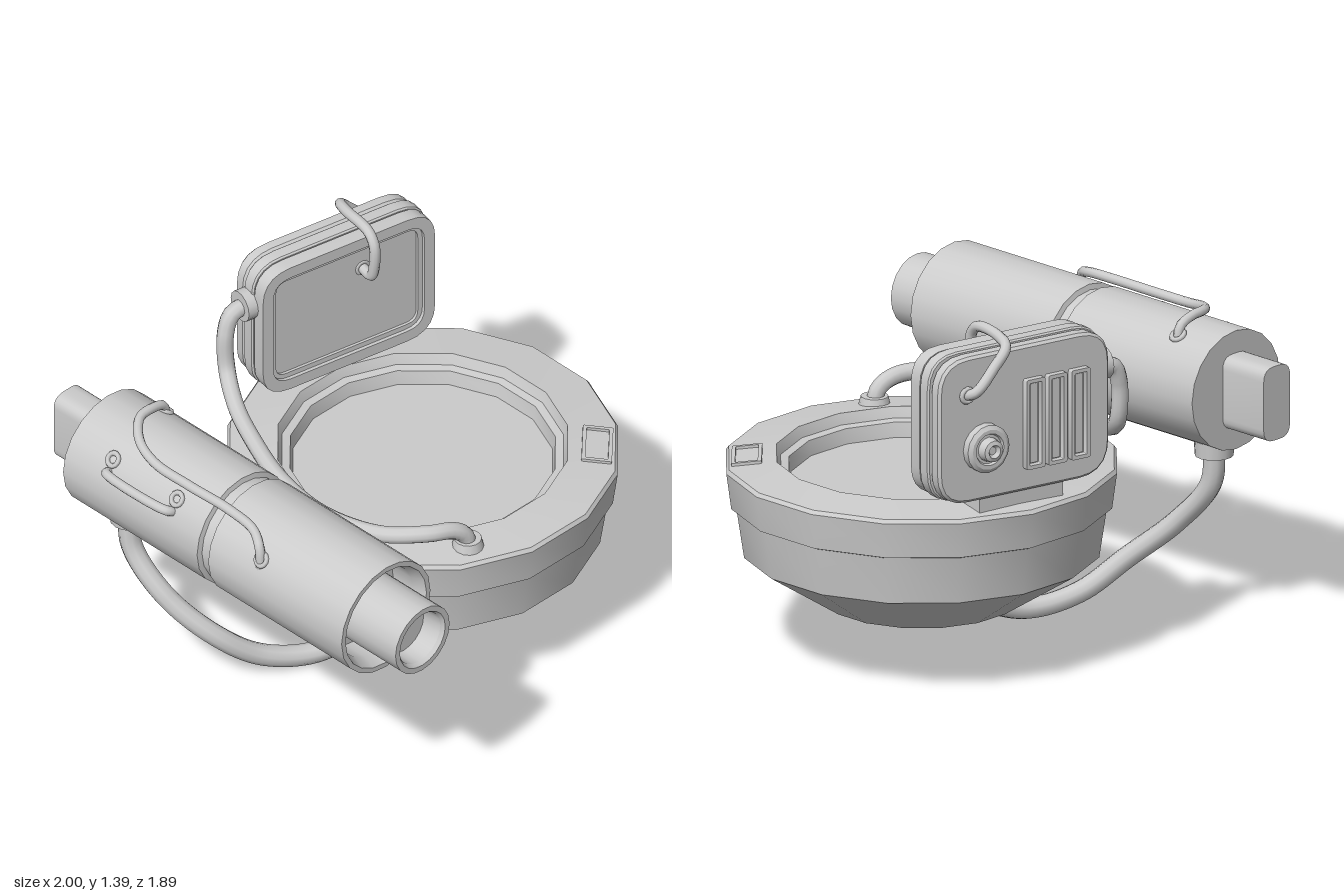
import * as THREE from 'three';
import { toCreasedNormals } from 'three/addons/utils/BufferGeometryUtils.js';

const material = new THREE.MeshStandardMaterial({ color: 0xcccccc });

function add(parent, name, geometry, x = 0, y = 0, z = 0) {
  const mesh = new THREE.Mesh(geometry, material);
  mesh.name = name;
  mesh.position.set(x, y, z);
  parent.add(mesh);
  return mesh;
}

// Turned part: profile of [radius, height] from the bottom upwards
function turned(points, sides) {
  const profile = points.map(([r, h]) => new THREE.Vector2(r, h));
  return toCreasedNormals(new THREE.LatheGeometry(profile, sides), 0.5);
}

// Smooth tube through a few points
function tube(points, radius, segments = 48) {
  const curve = new THREE.CatmullRomCurve3(points.map(p => new THREE.Vector3(...p)));
  return new THREE.TubeGeometry(curve, segments, radius, 10, false);
}

function roundedRect(w, h, r, Type = THREE.Shape) {
  const s = new Type(), x = w / 2, y = h / 2;
  s.moveTo(-x + r, -y);
  s.lineTo(x - r, -y);
  s.quadraticCurveTo(x, -y, x, -y + r);
  s.lineTo(x, y - r);
  s.quadraticCurveTo(x, y, x - r, y);
  s.lineTo(-x + r, y);
  s.quadraticCurveTo(-x, y, -x, y - r);
  s.lineTo(-x, -y + r);
  s.quadraticCurveTo(-x, -y, -x + r, -y);
  return s;
}

// Rounded plate; a border width makes it a frame
function plate(w, h, r, depth, border = 0, bevel = 0) {
  const shape = roundedRect(w - 2 * bevel, h - 2 * bevel, r);
  if (border) {
    shape.holes.push(roundedRect(w - 2 * border, h - 2 * border, Math.max(r - border, 0.004), THREE.Path));
  }
  const geometry = new THREE.ExtrudeGeometry(shape, {
    depth: depth - 2 * bevel, curveSegments: 5, bevelEnabled: bevel > 0,
    bevelSize: bevel, bevelThickness: bevel, bevelSegments: 1,
  });
  geometry.translate(0, 0, bevel);
  return toCreasedNormals(geometry, 0.5);
}

function buildBase(parent) {
  const base = new THREE.Group();
  base.name = 'base';
  base.position.set(0.285, 0, -0.22);
  parent.add(base);
  add(base, 'bowl', turned([
    [0, 0.2], [0.36, 0.2], [0.65, 0.39], [0.677, 0.57], [0.697, 0.578], [0.715, 0.712],
    [0.705, 0.726], [0.53, 0.745], [0.515, 0.705], [0.485, 0.7], [0.475, 0.645], [0, 0.645],
  ], 16));
  // Small framed pocket on the rim
  const frame = plate(0.2, 0.11, 0.006, 0.022, 0.014);
  frame.rotateX(-Math.PI / 2);
  const pocket = add(base, 'rimPocket', frame, 0.52, 0.722, 0.347);
  pocket.rotation.set(0.11, 0.96, 0, 'YXZ');
}

function buildPanel(parent) {
  const panel = new THREE.Group();
  panel.name = 'panel';
  panel.position.set(0.285, 1.06, -0.79);
  parent.add(panel);

  // Layered case with grooves between
  add(panel, 'caseCore', plate(0.7, 0.51, 0.1, 0.13), 0, 0, -0.065);
  add(panel, 'caseMiddle', plate(0.75, 0.56, 0.12, 0.056, 0, 0.006), 0, 0, -0.028);
  add(panel, 'caseBack', plate(0.74, 0.55, 0.12, 0.056, 0, 0.01), 0, 0, -0.09);
  add(panel, 'caseFront', plate(0.74, 0.55, 0.12, 0.056, 0.045), 0, 0, 0.034);
  add(panel, 'screenBezel', plate(0.66, 0.47, 0.07, 0.02, 0.025), 0, 0, 0.056);
  add(panel, 'stand', new THREE.BoxGeometry(0.36, 0.12, 0.1), 0, -0.3, -0.02);

  // Vent slots on the back
  for (const x of [-0.23, -0.13, -0.035]) {
    add(panel, 'ventFrame', plate(0.08, 0.34, 0.008, 0.026, 0.014), x, -0.02, -0.114);
    add(panel, 'ventBar', new THREE.BoxGeometry(0.03, 0.3, 0.014), x, -0.02, -0.094);
  }

  // Stepped knob on the back
  const knob = turned([
    [0, 0], [0.09, 0], [0.09, 0.035], [0.075, 0.045], [0.06, 0.045], [0.055, 0.035],
    [0.045, 0.035], [0.04, 0.07], [0.025, 0.075], [0.015, 0.06], [0, 0.06],
  ], 16);
  knob.rotateX(-Math.PI / 2);
  add(panel, 'knob', knob, 0.175, -0.075, -0.085);

  // Cable socket on the side
  const socket = new THREE.CylinderGeometry(0.06, 0.06, 0.05, 14);
  socket.rotateZ(Math.PI / 2);
  add(panel, 'socket', socket, -0.385, 0.11, 0);

  // Wire looping over the top edge
  add(parent, 'panelWire', tube([
    [0.36, 1.18, -0.73], [0.36, 1.18, -0.67], [0.36, 1.23, -0.65], [0.36, 1.33, -0.65], [0.36, 1.37, -0.69],
    [0.36, 1.37, -0.83], [0.38, 1.35, -0.9], [0.44, 1.29, -0.915], [0.52, 1.21, -0.915], [0.54, 1.19, -0.86],
  ], 0.02));
  for (const [x, y, z] of [[0.36, 1.18, -0.73], [0.535, 1.195, -0.885]]) {
    add(parent, 'wireCollar', new THREE.TorusGeometry(0.024, 0.01, 6, 12), x, y, z);
  }
}

function buildProjector(parent) {
  const projector = new THREE.Group();
  projector.name = 'projector';
  projector.position.set(-0.64, 0.905, 0.035);
  projector.rotation.y = 0.199;
  parent.add(projector);

  // Body with a central groove and hollow front; lens barrel inside
  const body = turned([
    [0, -0.709], [0.225, -0.709], [0.225, -0.027], [0.205, -0.022], [0.205, 0.025], [0.225, 0.03],
    [0.225, 0.709], [0.205, 0.709], [0.185, 0.66], [0.185, 0.56], [0, 0.56],
  ], 20);
  const barrel = turned([
    [0.137, 0.55], [0.137, 0.895], [0.115, 0.895], [0.105, 0.88], [0.1, 0.8], [0, 0.8],
  ], 20);
  body.rotateX(Math.PI / 2);
  barrel.rotateX(Math.PI / 2);
  add(projector, 'body', body);
  add(projector, 'lensBarrel', barrel);
  add(projector, 'tail', plate(0.135, 0.28, 0.05, 0.23), 0, 0, -0.915);

  // Wires over the body: [sideways, along, distance from the axis]
  const wrap = ([u, t, r]) => [u, Math.sqrt(r * r - u * u), t];
  const wires = [
    [[0.117, -0.532, 0.2], [0.105, -0.53, 0.245], [0.04, -0.525, 0.25], [-0.03, -0.515, 0.25], [-0.105, -0.44, 0.25],
      [-0.14, -0.33, 0.25], [-0.144, -0.15, 0.25], [-0.142, 0.05, 0.25], [-0.155, 0.19, 0.25],
      [-0.185, 0.25, 0.25], [-0.19, 0.265, 0.2]],
    [[-0.175, -0.505, 0.195], [-0.215, -0.5, 0.24], [-0.23, -0.45, 0.256], [-0.23, -0.25, 0.256],
      [-0.215, -0.19, 0.24], [-0.175, -0.18, 0.195]],
  ];
  for (const wire of wires) {
    add(projector, 'bodyWire', tube(wire.map(wrap), 0.018));
    for (const [u, t] of [wire[0], wire[wire.length - 1]]) {
      const collar = add(projector, 'wireCollar', new THREE.TorusGeometry(0.024, 0.01, 6, 12), ...wrap([u, t, 0.226]));
      collar.rotation.set(-Math.PI / 2, Math.asin(u / 0.226), 0, 'ZXY');
      collar.lookAt(projector.localToWorld(new THREE.Vector3(...wrap([u, t, 0.226])).multiply(new THREE.Vector3(2, 2, 1))));
    }
  }
}

function buildCables(parent) {
  // Cable from the panel to the rim
  add(parent, 'panelCable', tube([
    [-0.09, 1.17, -0.79], [-0.16, 1.15, -0.79], [-0.19, 1.08, -0.785], [-0.2, 0.93, -0.76],
    [-0.24, 0.86, -0.64], [-0.275, 0.83, -0.48], [-0.31, 0.815, -0.24], [-0.29, 0.81, 0],
    [-0.19, 0.82, 0.22], [-0.06, 0.835, 0.33], [0.04, 0.82, 0.35], [0.09, 0.78, 0.355], [0.1, 0.71, 0.355],
  ], 0.032, 72));
  add(parent, 'rimGrommet', new THREE.CylinderGeometry(0.05, 0.06, 0.04, 14), 0.1, 0.745, 0.355);

  // Cable hanging from the projector to the underside of the bowl
  add(parent, 'hangingCable', tube([
    [-0.76, 0.68, -0.55], [-0.76, 0.52, -0.53], [-0.7, 0.35, -0.4], [-0.57, 0.2, -0.27], [-0.41, 0.085, -0.21],
    [-0.21, 0.045, -0.16], [-0.05, 0.1, -0.13], [0.06, 0.2, -0.12], [0.11, 0.27, -0.12],
  ], 0.04, 64));
  add(parent, 'cableBoss', new THREE.CylinderGeometry(0.075, 0.07, 0.08, 14), -0.76, 0.672, -0.55);
}

export function createModel() {
  const model = new THREE.Group();
  model.name = 'device';
  buildBase(model);
  buildPanel(model);
  buildProjector(model);
  buildCables(model);
  return model;
}
